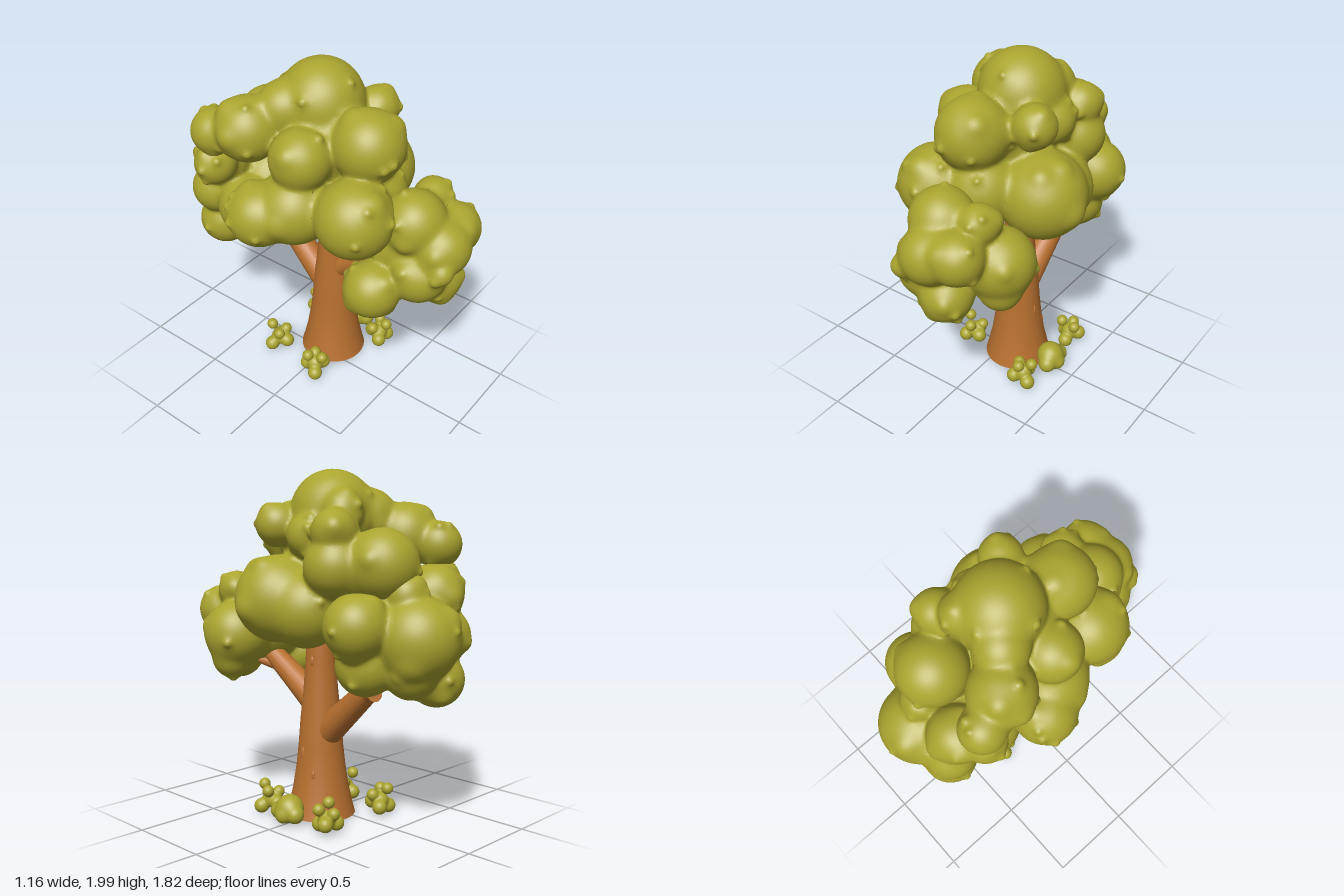
import * as THREE from 'three';
import { mergeVertices, mergeGeometries } from 'three/addons/utils/BufferGeometryUtils.js';

const leaf = new THREE.MeshStandardMaterial({ color: 0xaaa42f });
leaf.name = 'olive leaf';
const bark = new THREE.MeshStandardMaterial({ color: 0xb8702f, side: THREE.DoubleSide });
bark.name = 'brown bark';

let seed = 7;
const rand = () => (seed = (seed * 16807) % 2147483647) / 2147483647;

// Smooth unit ball with shared vertices
function unitBall(detail) {
  const g = new THREE.IcosahedronGeometry(1, detail);
  g.deleteAttribute('uv');
  g.deleteAttribute('normal');
  return mergeVertices(g, 1e-4);
}

// Soft union of balls: value at p, with its slope written to grad
function field(balls, p, soft, grad) {
  let sum = 0;
  grad.set(0, 0, 0);
  for (const [x, y, z, r] of balls) {
    const dx = p.x - x, dy = p.y - y, dz = p.z - z;
    const len = Math.hypot(dx, dy, dz) || 1e-6;
    const e = Math.exp((r - len) / soft);
    sum += e;
    grad.x += e * dx / len;
    grad.y += e * dy / len;
    grad.z += e * dz / len;
  }
  grad.divideScalar(sum);
  return -soft * Math.log(sum);
}

// Balls whose seams are drawn out onto one soft common surface
function fuse(name, balls, detailOf, soft) {
  const p = new THREE.Vector3(), grad = new THREE.Vector3();
  const parts = balls.map(([x, y, z, r]) => {
    const g = unitBall(detailOf(r));
    g.scale(r, r, r).translate(x, y, z);
    const pos = g.attributes.position, normals = [];
    for (let i = 0; i < pos.count; i++) {
      p.fromBufferAttribute(pos, i);
      let f = field(balls, p, soft, grad);
      if (f > -3 * soft) {
        for (let n = 0; n < 4; n++) {
          p.addScaledVector(grad, -f / Math.max(grad.lengthSq(), 0.25));
          f = field(balls, p, soft, grad);
        }
      }
      pos.setXYZ(i, p.x, p.y, p.z);
      grad.normalize();
      normals.push(grad.x, grad.y, grad.z);
    }
    g.setAttribute('normal', new THREE.Float32BufferAttribute(normals, 3));
    return g;
  });
  const mesh = new THREE.Mesh(mergeGeometries(parts), leaf);
  mesh.name = name;
  return mesh;
}

// Leaf masses as [x, y, z, radius]
const crown = [
  [0.06, 1.755, -0.07, 0.24], [0, 1.63, 0.29, 0.2], [0.29, 1.69, 0.14, 0.12],
  [-0.25, 1.63, -0.33, 0.185], [-0.32, 1.58, -0.52, 0.13], [-0.24, 1.56, 0.02, 0.17],
  [0.25, 1.63, -0.08, 0.125], [0.16, 1.77, -0.24, 0.11], [0.29, 1.66, -0.3, 0.12],
  [0.27, 1.47, -0.29, 0.17], [0.12, 1.48, -0.49, 0.2], [-0.1, 1.74, -0.2, 0.15],
  [-0.39, 1.22, -0.15, 0.18], [-0.27, 1.27, 0, 0.21], [-0.2, 1.3, 0.35, 0.22],
  [0.32, 1.28, 0.1, 0.245], [0.28, 1.23, -0.08, 0.215], [0.05, 1.3, -0.05, 0.28],
  [0.03, 1.55, 0.02, 0.24], [0.05, 1.32, 0.28, 0.2],
];
const frontMass = [
  [0.31, 1.05, 0.48, 0.195], [0.02, 1.26, 0.58, 0.18], [0.22, 1.17, 0.72, 0.145],
  [0.06, 1.14, 0.74, 0.16], [0.12, 0.88, 0.69, 0.145], [-0.19, 0.88, 0.47, 0.16],
  [-0.03, 0.98, 0.66, 0.16], [0.33, 0.9, 0.5, 0.12], [0.08, 1.08, 0.5, 0.23],
  [0.24, 1.3, 0.56, 0.11], [-0.06, 1.07, 0.82, 0.06],
];
const backMass = [
  [0.05, 1.1, -0.68, 0.23], [-0.15, 0.86, -0.65, 0.155], [0.31, 1.17, -0.48, 0.175],
  [0.2, 0.95, -0.45, 0.165], [-0.19, 1.32, -0.6, 0.16], [-0.19, 1.1, -0.66, 0.15],
  [0.06, 1.15, -0.45, 0.23], [-0.2, 1.08, -0.4, 0.18], [0.08, 0.92, -0.66, 0.14],
  [-0.33, 1.38, -0.52, 0.12], [0.08, 1.33, -0.62, 0.11],
];
const masses = [...crown, ...frontMass, ...backMass];

// Low swellings and tiny buds on the exposed surface of a ball
function buds([x, y, z, r]) {
  const out = [];
  for (let i = 0; i < 7; i++) {
    const h = rand() * 2 - 1, a = rand() * Math.PI * 2, w = Math.sqrt(1 - h * h);
    const swelling = i < 3;
    const size = swelling ? r * (0.2 + 0.2 * rand()) : 0.01 + 0.008 * rand();
    const d = swelling ? r - size * 0.75 : r;
    const c = [x + d * w * Math.cos(a), y + d * h, z + d * w * Math.sin(a)];
    const hidden = masses.some(m => Math.hypot(c[0] - m[0], c[1] - m[1], c[2] - m[2]) < m[3] - size);
    if (!hidden) out.push([...c, size]);
  }
  return out;
}

const foliage = (name, balls) =>
  fuse(name, [...balls, ...balls.flatMap(buds)], r => (r > 0.1 ? 8 : r > 0.03 ? 3 : 2), 0.014);

// Tapered limb between two points
function limb(name, from, to, r0, r1) {
  const a = new THREE.Vector3(...from), b = new THREE.Vector3(...to);
  const dir = b.clone().sub(a);
  const mesh = new THREE.Mesh(new THREE.CylinderGeometry(r1, r0, dir.length(), 20), bark);
  mesh.name = name;
  mesh.position.copy(a).add(b).multiplyScalar(0.5);
  mesh.quaternion.setFromUnitVectors(new THREE.Vector3(0, 1, 0), dir.normalize());
  return mesh;
}

// Tuft of little balls around a centre on the ground
function tuft(x, z, turn) {
  const balls = [[x, 0.085, z, 0.05]];
  for (let i = 0; i < 3; i++) {
    const a = turn + i * Math.PI * 2 / 3, c = Math.cos(a), s = Math.sin(a);
    balls.push([x + 0.055 * c, 0.047 + 0.012 * i, z + 0.055 * s, 0.043]);
    balls.push([x - 0.05 * c, 0.125 + 0.02 * i, z - 0.05 * s, 0.034]);
  }
  return fuse('groundTuft', balls, () => 4, 0.006);
}

export function createModel() {
  const tree = new THREE.Group();
  tree.name = 'tree';

  // Flared trunk, open at the foot
  const profile = [[0.2, 0.015], [0.188, 0.06], [0.163, 0.17], [0.143, 0.3], [0.13, 0.42],
    [0.118, 0.58], [0.1, 0.75], [0.085, 0.95], [0.075, 1.3]].map(p => new THREE.Vector2(...p));
  const trunk = new THREE.Mesh(new THREE.LatheGeometry(profile, 32), bark);
  trunk.name = 'trunk';
  trunk.position.set(0.095, 0, -0.005);
  tree.add(trunk);

  // Branches, twigs and a few bark knots
  tree.add(
    limb('frontBranch', [0.095, 0.65, 0], [0.12, 0.95, 0.42], 0.088, 0.055),
    limb('backBranch', [0.095, 0.48, -0.03], [0.12, 0.88, -0.49], 0.09, 0.058),
    limb('frontTwig', [0.12, 0.85, 0.32], [0.17, 0.88, 0.44], 0.035, 0.025),
    limb('backTwig', [0.12, 0.78, -0.4], [0.18, 0.8, -0.5], 0.045, 0.04),
  );
  for (const [x, y, z, h] of [[0.222, 0.38, 0.01, 0.045], [0.22, 0.27, -0.07, 0.03], [0.176, 0.92, -0.02, 0.03]]) {
    const knot = new THREE.Mesh(unitBall(3), bark);
    knot.name = 'barkKnot';
    knot.scale.set(0.012, h, 0.012);
    knot.position.set(x, y, z);
    tree.add(knot);
  }

  // Foliage
  tree.add(foliage('crownFoliage', crown), foliage('frontFoliage', frontMass), foliage('backFoliage', backMass));

  // Ground plants
  [[0.29, 0.22], [0.31, -0.27], [-0.19, 0.07], [-0.14, -0.26]].forEach(([x, z], i) => tree.add(tuft(x, z, 0.5 + i)));
  const bush = [[0.34, 0.09, 0, 0.08], [0.36, 0.07, 0.065, 0.05], [0.36, 0.07, -0.065, 0.05], [0.39, 0.06, 0, 0.045]];
  tree.add(fuse('groundBush', bush, () => 5, 0.008));
  return tree;
}
